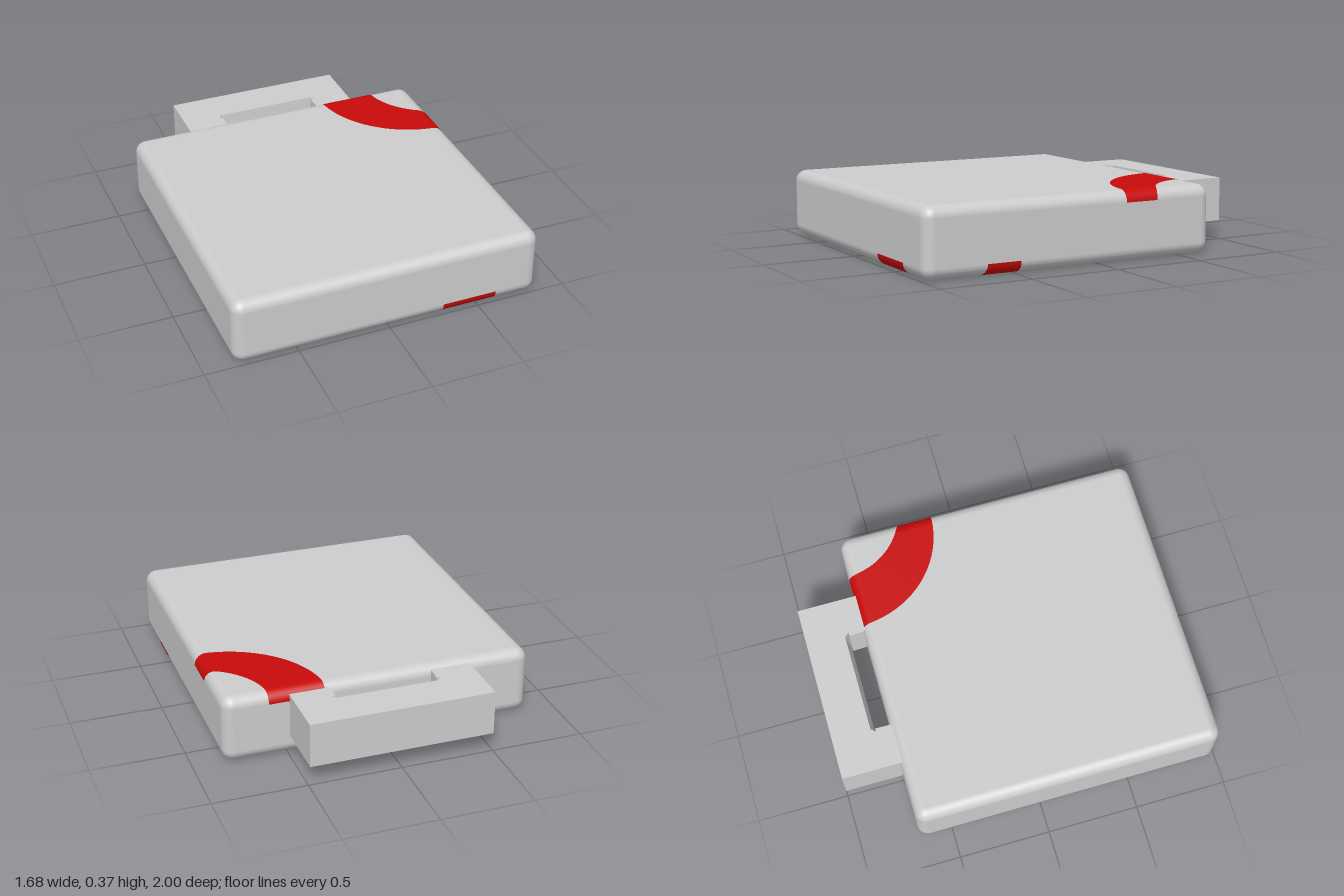
import * as THREE from 'three';
import { RoundedBoxGeometry } from 'three/addons/geometries/RoundedBoxGeometry.js';

const H = 0.365, R = 0.06;            // body height and edge radius
const HALF = 0.84, BACK = -0.68, MID = 0.16;

// Curved band that wraps from the back edge, across the top, to the side edge
function bandGeometry() {
  const lift = 0.003, r = R + lift, n = 8;
  const circles = [{ x: 0.84, z: -0.69, r: 0.54 }, { x: 0.975, z: -0.69, r: 0.375 }];
  const zIn = BACK + R, xIn = HALF - R;
  const rows = [];
  // back edge roll, from the wall up to the top
  for (let i = 0; i < n; i++) {
    const a = (Math.PI / 2) * (1 - i / n);
    const z = zIn - r * Math.sin(a), y = H - R + r * Math.cos(a);
    rows.push(circles.map(c => [c.x - Math.sqrt(c.r ** 2 - (z - c.z) ** 2), y, z]));
  }
  // flat top
  for (let i = 0; i <= 32; i++) {
    rows.push(circles.map(c => {
      const a0 = Math.asin((zIn - c.z) / c.r), a1 = Math.acos((c.x - xIn) / c.r);
      const a = a0 + (a1 - a0) * i / 32;
      return [c.x - c.r * Math.cos(a), H + lift, c.z + c.r * Math.sin(a)];
    }));
  }
  // side edge roll, from the top down to the wall
  for (let i = 1; i <= n; i++) {
    const a = (Math.PI / 2) * i / n;
    const x = xIn + r * Math.sin(a), y = H - R + r * Math.cos(a);
    rows.push(circles.map(c => [x, y, c.z + Math.sqrt(c.r ** 2 - (x - c.x) ** 2)]));
  }
  const index = [];
  for (let i = 0; i < rows.length - 1; i++) {
    const k = i * 2;
    index.push(k, k + 2, k + 1, k + 1, k + 2, k + 3);
  }
  const g = new THREE.BufferGeometry();
  g.setAttribute('position', new THREE.Float32BufferAttribute(rows.flat(2), 3));
  g.setIndex(index);
  g.computeVertexNormals();
  return g;
}

// Connector block with a notch between two legs; the notch wall leans slightly
function handleGeometry() {
  const s = new THREE.Shape([
    [-0.5, -1], [0.49, -1], [0.49, -0.66], [0.29, -0.66], [0.275, -0.68], [0.272, -0.762],
    [0.293, -0.764], [0.27, -0.787], [-0.275, -0.787], [-0.295, -0.764],
    [-0.278, -0.762], [-0.28, -0.68], [-0.295, -0.66], [-0.5, -0.66],
  ].map(p => new THREE.Vector2(...p)));
  const g = new THREE.ExtrudeGeometry(s, { depth: 0.24, bevelEnabled: false });
  g.rotateX(Math.PI / 2).translate(0, 0.34, 0);
  const p = g.attributes.position;
  for (let i = 0; i < p.count; i++) {
    if (Math.abs(p.getZ(i) + 0.787) < 0.001 && p.getY(i) < 0.2) p.setZ(i, -0.766);
  }
  g.computeVertexNormals();
  return g;
}

export function createModel() {
  const grey = new THREE.MeshStandardMaterial({ color: 0xcccccc });
  grey.name = 'light grey';
  const red = new THREE.MeshStandardMaterial({ color: 0xc80a0a });
  red.name = 'red';

  const model = new THREE.Group();
  const add = (name, geometry, material) => {
    const mesh = new THREE.Mesh(geometry, material);
    mesh.name = name;
    model.add(mesh);
    return mesh;
  };

  add('body', new RoundedBoxGeometry(HALF * 2, H, 1.68, 6, R), grey).position.set(0, H / 2, MID);
  add('handle', handleGeometry(), grey);

  // the lower band is the upper one turned half way round the body's long axis
  const band = bandGeometry();
  add('topBand', band, red);
  const lower = add('bottomBand', band, red);
  lower.rotation.x = Math.PI;
  lower.position.set(0, H, MID * 2);
  return model;
}
